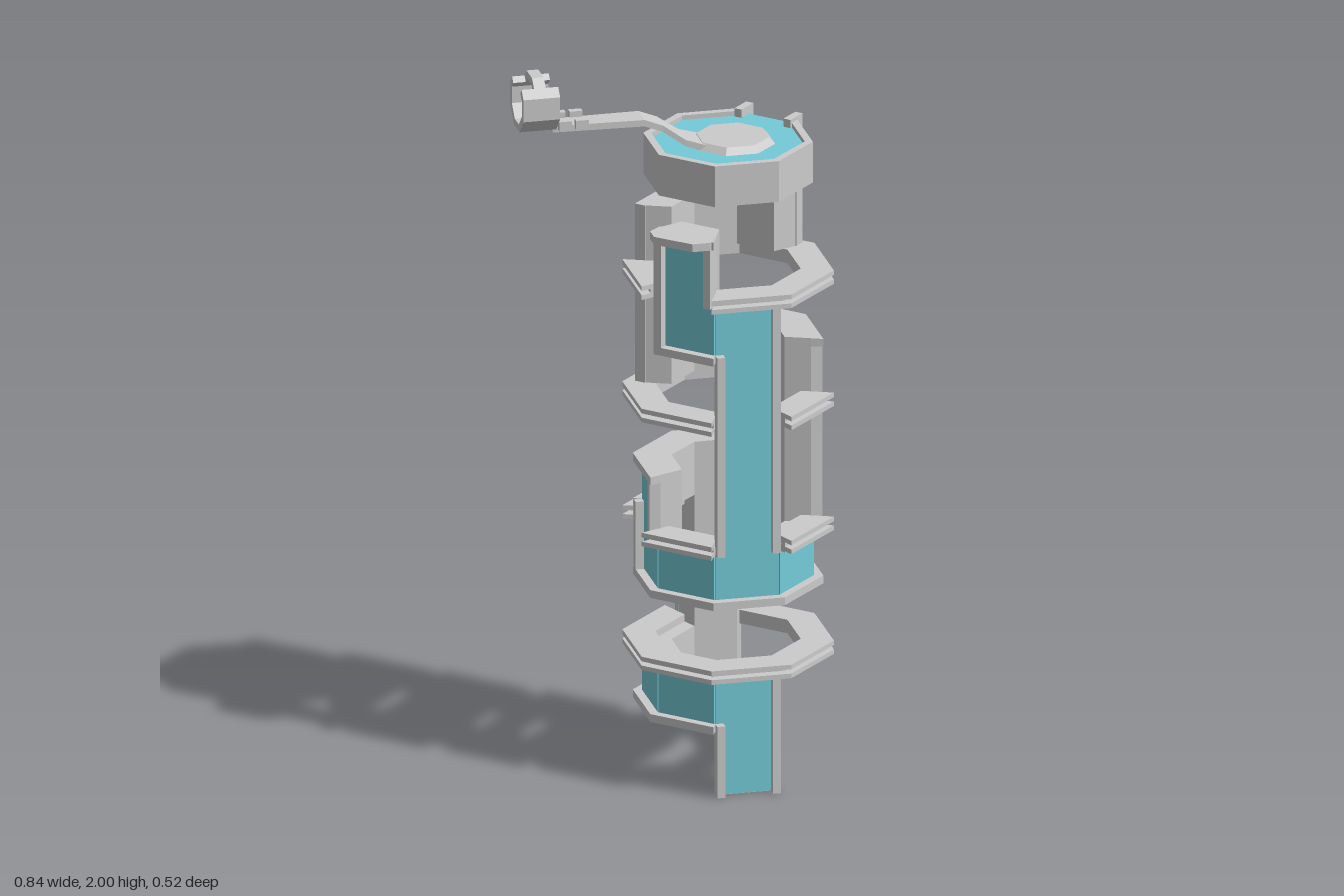
import * as THREE from 'three';

const grey = new THREE.MeshStandardMaterial({ color: 0xcccccc, flatShading: true });
const water = new THREE.MeshStandardMaterial({ color: 0x74cbd8, flatShading: true });
const CX = 0.156;                       // tower axis
const T = Math.tan(Math.PI / 8);        // half side of an octagon per unit of apothem
const INNER = 0.14, FLOOR = 0.21, LIP = 0.236, RIM = 0.022, EDGE = 0.087;
const CAP_TOP = 1.762;

function add(parent, name, geo, mat = grey) {
  const mesh = new THREE.Mesh(geo, mat);
  mesh.name = name;
  parent.add(mesh);
  return mesh;
}

// Upright prism from a plan outline of [x, z] points
function prism(points, y0, y1) {
  const shape = new THREE.Shape(points.map(([x, z]) => new THREE.Vector2(x, -z)));
  return new THREE.ExtrudeGeometry(shape, { depth: y1 - y0, bevelEnabled: false })
    .rotateX(-Math.PI / 2).translate(0, y0, 0);
}

// Prism on octagon face k (0 = front, 2 = +x, 4 = back), optionally mitred at both ends
const facePrism = (k, points, y0, y1) => prism(points, y0, y1).rotateY(k * Math.PI / 4);
const sector = (k, a0, a1, y0, y1) =>
  facePrism(k, [[-a0 * T, a0], [a0 * T, a0], [a1 * T, a1], [-a1 * T, a1]], y0, y1);

// Channel runs: [face, bottom, top]; overlapping neighbours join up
const cells = [
  [3, 1.42, 1.785], [4, 1.42, 1.57], [5, 1.07, 1.57], [4, 1.07, 1.22], [3, 1.07, 1.22],
  [2, 0.53, 1.22], [3, 0.72, 0.87], [1, 0.53, 0.7],
  [7, 1.22, 1.57], [0, 0.53, 1.4], [7, 0.53, 0.7], [6, 0.53, 0.87], [5, 0.72, 0.87],
  [4, 0.18, 0.87], [5, 0.18, 0.35], [6, 0.18, 0.35], [7, 0.18, 0.35], [0, 0, 0.35],
];

function channel([k, y0, y1]) {
  const g = new THREE.Group();
  g.name = 'channelSection';
  add(g, 'channelBody', sector(k, INNER, FLOOR, y0, Math.min(y1, 1.75)));
  const u = 0.0865;
  add(g, 'channelWater', facePrism(k, [[-u, 0.205], [u, 0.205], [u, 0.213], [-u, 0.213]],
    y0 + 0.002, Math.min(y1 - 0.002, CAP_TOP)), water);

  // Side rims, broken where a neighbouring run joins
  const half = { '-1': EDGE, 1: EDGE };
  for (const side of [-1, 1]) {
    let spans = [[y0, y1]];
    for (const [nk, n0, n1] of cells) {
      if (nk !== (k + side + 8) % 8 || n0 >= y1 || n1 <= y0) continue;
      half[side] = LIP * T;
      spans = spans.flatMap(([a, b]) => [[a, Math.min(b, n0 + RIM)], [Math.max(a, n1 - RIM), b]]);
    }
    for (const [a, b] of spans) {
      if (b - a < RIM + 0.005) continue;
      const p = side * (EDGE - RIM), q = side * EDGE;
      add(g, 'sideRim', facePrism(k, [[p, 0.205], [q, 0.205], [q, LIP], [p, LIP]], a, b));
    }
  }
  // Top and bottom rims, left out at the outlet and at the cap
  const outline = [[-EDGE, 0.205], [EDGE, 0.205], [half[1], LIP], [-half[-1], LIP]];
  if (y0 > 0) add(g, 'lowerRim', facePrism(k, outline, y0, y0 + RIM));
  if (y1 < 1.7) add(g, 'upperRim', facePrism(k, outline, y1 - RIM, y1));
  return g;
}

// Double-plate collar, interrupted where channels run through it
function collar(y, skip) {
  const g = new THREE.Group();
  g.name = 'collar';
  for (let k = 0; k < 8; k++) {
    if (skip.includes(k)) continue;
    add(g, 'lowerPlate', sector(k, 0.18, 0.262, y - 0.02, y - 0.007));
    add(g, 'collarCore', sector(k, 0.18, 0.235, y - 0.007, y + 0.005));
    add(g, 'upperPlate', sector(k, 0.18, 0.262, y + 0.005, y + 0.018));
  }
  return g;
}

function octagon(apTop, apBottom, y0, y1) {
  const c = Math.cos(Math.PI / 8);
  return new THREE.CylinderGeometry(apTop / c, apBottom / c, y1 - y0, 8, 1, false, Math.PI / 8)
    .translate(0, (y0 + y1) / 2, 0);
}

// Cap with a shallow pool that spills over its back corner
function cap() {
  const g = new THREE.Group();
  g.name = 'cap';
  add(g, 'capBody', octagon(0.21, 0.21, 1.66, 1.752));
  add(g, 'pool', octagon(0.192, 0.192, 1.74, CAP_TOP), water);
  for (let k = 0; k < 8; k++) {
    if (k === 3) add(g, 'spill', sector(k, 0.185, 0.211, 1.74, CAP_TOP), water);
    else add(g, 'capRim', sector(k, 0.19, 0.21, 1.745, 1.775));
  }
  for (const s of [-1, 1]) {
    const p = s * 0.065, q = s * EDGE;
    add(g, 'spillCurb', facePrism(3, [[p, 0.175], [q, 0.175], [q, 0.21], [p, 0.21]], 1.745, 1.785));
  }
  add(g, 'armBase', octagon(0.09, 0.112, 1.755, 1.78).translate(0.012, 0, 0));
  return g;
}

// Band along part of an octagonal loop, extruded along x
function loopBand(from, to, width) {
  const at = (r, deg) => {
    const a = deg * Math.PI / 180;
    const onEdge = Math.abs(deg % 45) < 1 ? r * Math.cos(Math.PI / 8) : r;
    return new THREE.Vector2(onEdge * Math.cos(a), onEdge * Math.sin(a));
  };
  const angles = [from];
  for (let d = from + 22.5; d < to; d += 45) angles.push(d);
  angles.push(to);
  const pts = [...angles.map(d => at(0.081, d)), ...angles.reverse().map(d => at(0.06, d))];
  return new THREE.ExtrudeGeometry(new THREE.Shape(pts), { depth: width, bevelEnabled: false })
    .translate(0, 0, -width / 2).rotateY(Math.PI / 2).translate(-0.37, 1.925, 0);
}

// Bent arm with clasp loop: stations are [x, y, half width]
function arm() {
  const g = new THREE.Group();
  g.name = 'arm';
  const path = [[-0.33, 1.85, 0.03], [-0.08, 1.848, 0.036], [-0.03, 1.828, 0.037],
    [0.03, 1.785, 0.045], [0.085, 1.767, 0.05]];
  const n = path.length - 1;
  const bar = new THREE.BoxGeometry(1, 0.018, 2, n, 1, 1);
  const pos = bar.attributes.position;
  for (let i = 0; i < pos.count; i++) {
    const [x, y, w] = path[Math.round((pos.getX(i) + 0.5) * n)];
    pos.setXYZ(i, x, y + pos.getY(i), pos.getZ(i) * w);
  }
  bar.computeVertexNormals();
  add(g, 'armBar', bar);
  for (const x of [-0.298, -0.252]) for (const s of [-1, 1])
    add(g, 'armTab', new THREE.BoxGeometry(0.035, 0.025, 0.02).translate(x, 1.862, s * 0.036));
  add(g, 'claspCradle', loopBand(135, 405, 0.1));
  add(g, 'claspBridge', loopBand(45, 135, 0.032));
  return g;
}

export function createModel() {
  const model = new THREE.Group();
  model.name = 'channelTower';
  const tower = new THREE.Group();
  tower.name = 'tower';
  tower.position.x = CX;
  cells.forEach(c => tower.add(channel(c)));
  tower.add(collar(0.352, [4]), collar(0.702, [0, 2, 4, 6]),
    collar(1.052, [0, 2]), collar(1.397, [5, 7]), cap());
  model.add(tower, arm());
  // Lid over the head of the front channel
  add(model, 'channelLid', prism([[-0.085, 0.115], [-0.05, 0.085], [0.07, 0.205], [0.05, 0.24],
    [0, 0.24], [-0.085, 0.16]], 1.55, 1.572));
  return model;
}
